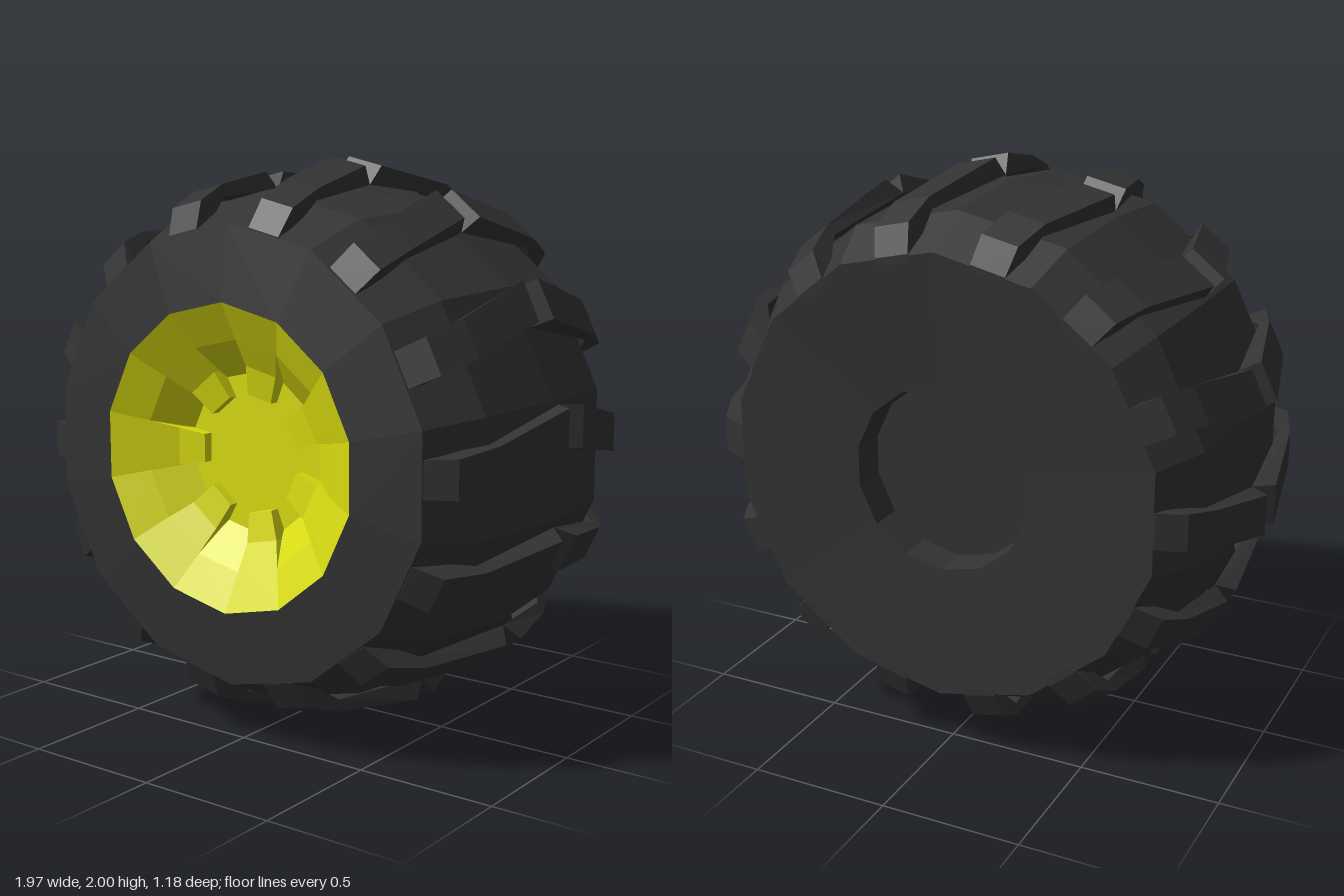
import * as THREE from 'three';

const SIDES = 14;
const rubber = new THREE.MeshStandardMaterial({ color: 0x333333, flatShading: true });
const yellow = new THREE.MeshStandardMaterial({ color: 0xd9dc10, flatShading: true });

// Closed solid through four-cornered sections, each counter-clockwise seen from the far end
function loft(sections) {
  const index = [];
  const last = (sections.length - 1) * 4;
  for (let s = 0; s < last; s += 4) {
    for (let i = 0; i < 4; i++) {
      const j = (i + 1) % 4;
      index.push(s + i, s + j, s + 4 + j, s + i, s + 4 + j, s + 4 + i);
    }
  }
  index.push(0, 2, 1, 0, 3, 2, last, last + 1, last + 2, last, last + 2, last + 3);
  const indexed = new THREE.BufferGeometry();
  indexed.setAttribute('position', new THREE.Float32BufferAttribute(sections.flat(2), 3));
  indexed.setIndex(index);
  const geometry = indexed.toNonIndexed();
  geometry.computeVertexNormals();
  return geometry;
}

// Profile of [radius, z], from back to front, spun round the axle
function spin(profile) {
  const points = profile.map(([r, z]) => new THREE.Vector2(r, z));
  return new THREE.LatheGeometry(points, SIDES).rotateX(Math.PI / 2);
}

// Half of a chevron lug; side is 1 for the front half, -1 for the back half
function lugGeometry(side) {
  // middle z, distance from it (inner, outer), radius (inner, outer), width (low, high)
  const stations = [
    [-0.035, 0.0, 0.05, 0.915, 0.983, 0.05, 0.195],
    [-0.035, 0.395, 0.395, 0.885, 0.927, -0.02, 0.115],
    [-0.02, 0.53, 0.53, 0.77, 0.87, -0.04, 0.09],
    [-0.015, 0.575, 0.575, 0.75, 0.775, -0.04, 0.085],
  ];
  const sections = stations.map(([mid, din, dout, rin, rout, lo, hi]) => {
    const zin = mid + side * din;
    const zout = mid + side * dout;
    return [[rin, lo, zin], [rout, lo, zout], [rout, hi, zout], [rin, hi, zin]];
  });
  return loft(side > 0 ? sections : sections.reverse());
}

function add(parent, name, geometry, material) {
  const mesh = new THREE.Mesh(geometry, material);
  mesh.name = name;
  parent.add(mesh);
  return mesh;
}

export function createModel() {
  const model = new THREE.Group();
  model.name = 'wheel';
  const wheel = new THREE.Group();
  wheel.name = 'wheelBody';
  wheel.position.y = 1;
  model.add(wheel);

  // Tyre carcass with the recess at the back
  add(wheel, 'tyre', spin([
    [0, -0.44], [0.32, -0.44], [0.325, -0.56], [0.79, -0.59], [0.89, -0.41], [0.92, -0.03],
    [0.89, 0.35], [0.79, 0.565], [0.53, 0.595],
  ]), rubber);

  // Dished rim
  add(wheel, 'rim', spin([[0.53, 0.595], [0.4, 0.525], [0.28, 0.42], [0, 0.42]]), yellow);

  // Chevron tread lugs
  const halves = [['frontLug', lugGeometry(1)], ['backLug', lugGeometry(-1)]];
  for (let i = 0; i < SIDES; i++) {
    const lug = new THREE.Group();
    lug.name = 'treadLug';
    lug.rotation.z = (i / SIDES) * Math.PI * 2;
    halves.forEach(([name, geometry]) => add(lug, name, geometry, rubber));
    wheel.add(lug);
  }

  // Spokes running from every second face of the rim towards the centre
  const spoke = loft([[0.2, 0.05, 0.455], [0.3, 0.065, 0.475], [0.395, 0.089, 0.528]].map(
    ([r, w, z]) => [[r, -w, 0.41], [r, w, 0.41], [r, w, z], [r, -w, z]]));
  for (let i = 0; i < SIDES / 2; i++) {
    add(wheel, 'spoke', spoke, yellow).rotation.z = Math.PI + (i / (SIDES / 2)) * Math.PI * 2;
  }
  return model;
}
